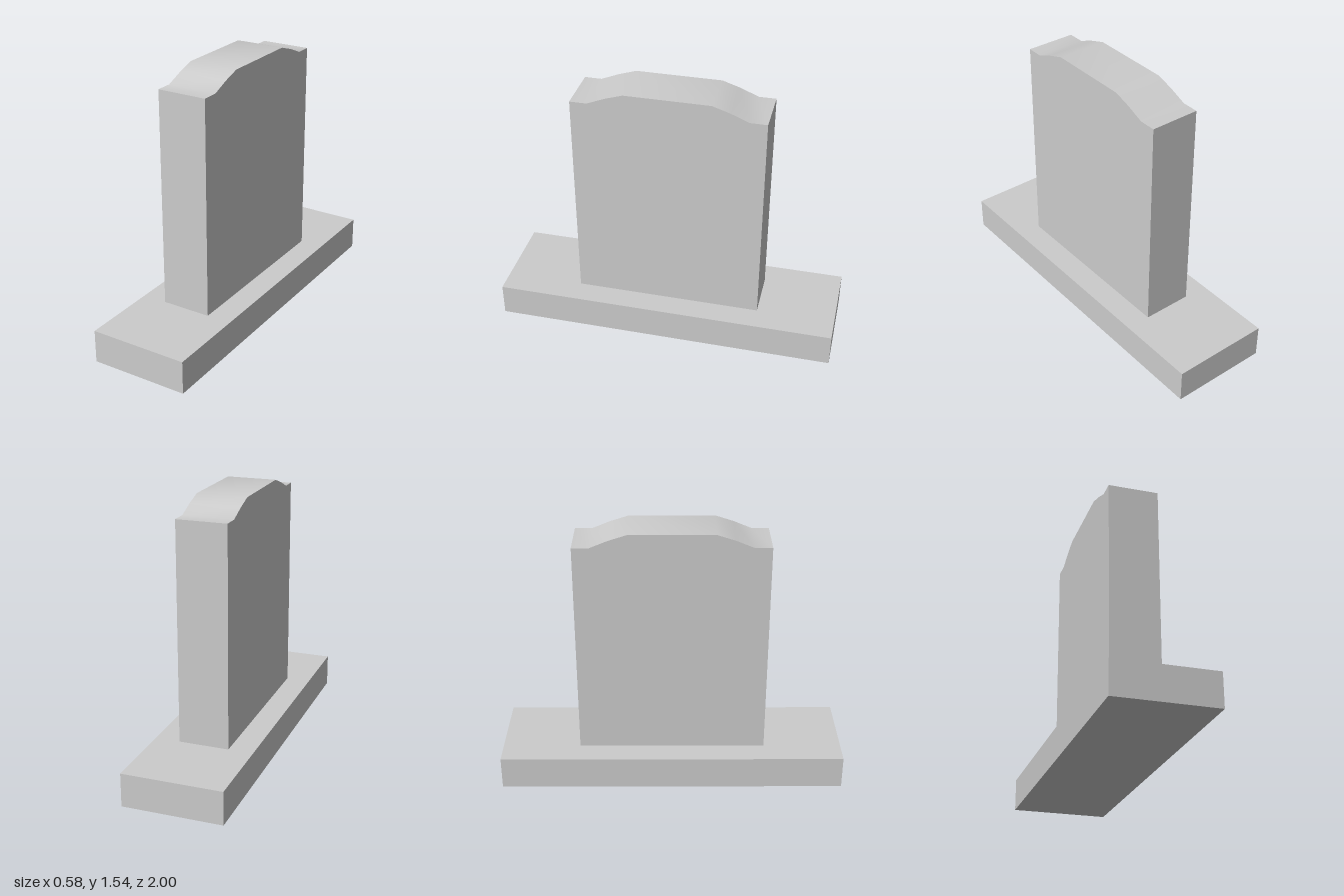
import * as THREE from 'three';
import { toCreasedNormals } from 'three/addons/utils/BufferGeometryUtils.js';

const BASE_HEIGHT = 0.193;
const BASE_WIDTH = 0.576;
const SLAB_WIDTH = 0.29;

export function createModel() {
  const model = new THREE.Group();
  const material = new THREE.MeshStandardMaterial({ color: 0xcccccc });

  function add(name, geometry) {
    const mesh = new THREE.Mesh(geometry, material);
    mesh.name = name;
    model.add(mesh);
    return mesh;
  }

  // Long flat plinth
  add('base', new THREE.BoxGeometry(BASE_WIDTH, BASE_HEIGHT, 2)).position.y = BASE_HEIGHT / 2;

  // Upright slab: half of its outline, mirrored, with shoulders and a raised crown
  const half = [[0.544, BASE_HEIGHT], [0.544, 1.462], [0.447, 1.462], [0.345, 1.504], [0.243, 1.537]];
  const mirrored = half.map(([z, y]) => [-z, y]).reverse();
  const outline = new THREE.Shape([...half, ...mirrored].map(([z, y]) => new THREE.Vector2(z, y)));
  const slab = new THREE.ExtrudeGeometry(outline, { depth: SLAB_WIDTH, bevelEnabled: false });
  slab.translate(0, 0, -SLAB_WIDTH / 2);
  slab.rotateY(Math.PI / 2);

  // The top is shaded smoothly while the corners stay sharp
  add('slab', toCreasedNormals(slab, Math.PI / 5));

  return model;
}
